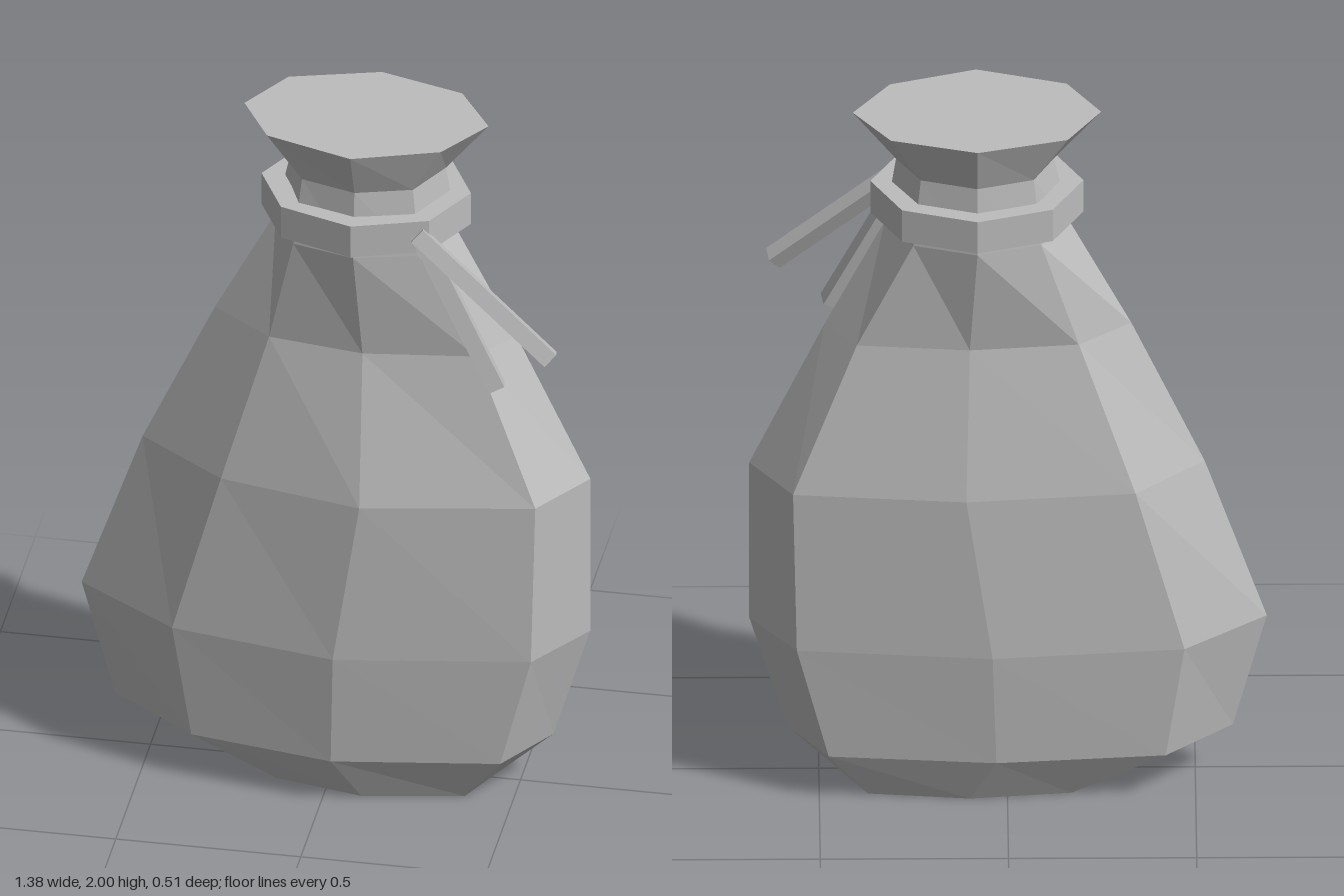
import * as THREE from 'three';

// One eight-sided cross-section: left, front-left, middle, right diagonal and right x,
// back-left x, then front, front-diagonal, back-diagonal and back z.
function ring([y, xL, xFL, xM, xDR, xR, xBL, zF, zDF, zDB, zB]) {
  return [
    [xR, y, -0.02], [xDR, y, zDF], [xM, y, zF], [xFL, y, zDF],
    [xL, y, -0.02], [xBL, y, zDB], [xM, y, zB], [xDR, y, zDB],
  ];
}

// Joins the rings with faceted walls and flat caps.
function loft(rings) {
  const pos = [];
  const tri = (a, b, c) => pos.push(...a, ...b, ...c);
  for (let k = 0; k < rings.length - 1; k++) {
    const lo = rings[k], hi = rings[k + 1];
    for (let i = 0; i < 8; i++) {
      const j = (i + 1) % 8;
      tri(lo[i], hi[i], hi[j]);
      tri(lo[i], hi[j], lo[j]);
    }
  }
  const bottom = rings[0], top = rings[rings.length - 1];
  for (let i = 1; i < 7; i++) {
    tri(bottom[0], bottom[i], bottom[i + 1]);
    tri(top[0], top[i + 1], top[i]);
  }
  const geo = new THREE.BufferGeometry();
  geo.setAttribute('position', new THREE.Float32BufferAttribute(pos, 3));
  geo.computeVertexNormals();
  return geo;
}

export function createModel() {
  const model = new THREE.Group();
  model.name = 'tiedSack';
  const cloth = new THREE.MeshStandardMaterial({ color: 0xbcbcbc, flatShading: true });
  cloth.name = 'grey cloth';

  const add = (name, geo) => {
    const mesh = new THREE.Mesh(geo, cloth);
    mesh.name = name;
    model.add(mesh);
    return mesh;
  };

  // Leaning sack, pinched at the neck and flared at the mouth
  const sections = [
    [0, -0.27, -0.14, 0.10, 0.37, 0.43, -0.17, 0.16, 0.11, -0.14, -0.17],
    [0.14, -0.60, -0.36, 0.03, 0.475, 0.585, -0.42, 0.23, 0.16, -0.19, -0.23],
    [0.47, -0.69, -0.41, 0.04, 0.56, 0.685, -0.47, 0.255, 0.17, -0.205, -0.255],
    [0.94, -0.525, -0.28, 0.11, 0.57, 0.685, -0.34, 0.245, 0.16, -0.20, -0.245],
    [1.36, -0.33, -0.16, 0.10, 0.40, 0.485, -0.19, 0.145, 0.105, -0.14, -0.17],
    [1.67, -0.165, -0.09, 0.08, 0.25, 0.325, -0.09, 0.175, 0.13, -0.155, -0.21],
    [1.86, -0.125, -0.07, 0.08, 0.23, 0.295, -0.07, 0.155, 0.11, -0.14, -0.19],
    [2, -0.25, -0.16, 0.08, 0.31, 0.41, -0.16, 0.215, 0.135, -0.175, -0.245],
  ];
  add('sack', loft(sections.map(ring)));

  // Octagonal band around the neck
  const band = add('neckBand', new THREE.CylinderGeometry(1, 1, 0.095, 8));
  band.scale.set(0.283, 1, 0.23);
  band.position.set(0.08, 1.743, -0.016);

  // Two square cord ends hanging from the band
  const cord = (name, from, to) => {
    const a = new THREE.Vector3(...from), b = new THREE.Vector3(...to);
    const dir = b.clone().sub(a);
    const mesh = add(name, new THREE.CylinderGeometry(0.032, 0.032, dir.length(), 4).rotateY(0.2));
    mesh.position.copy(a).add(b).multiplyScalar(0.5);
    mesh.quaternion.setFromUnitVectors(new THREE.Vector3(0, 1, 0), dir.normalize());
  };
  cord('upperCord', [0.25, 1.75, 0.155], [0.62, 1.435, 0.207]);
  cord('lowerCord', [0.25, 1.75, 0.14], [0.47, 1.317, 0.182]);

  return model;
}
